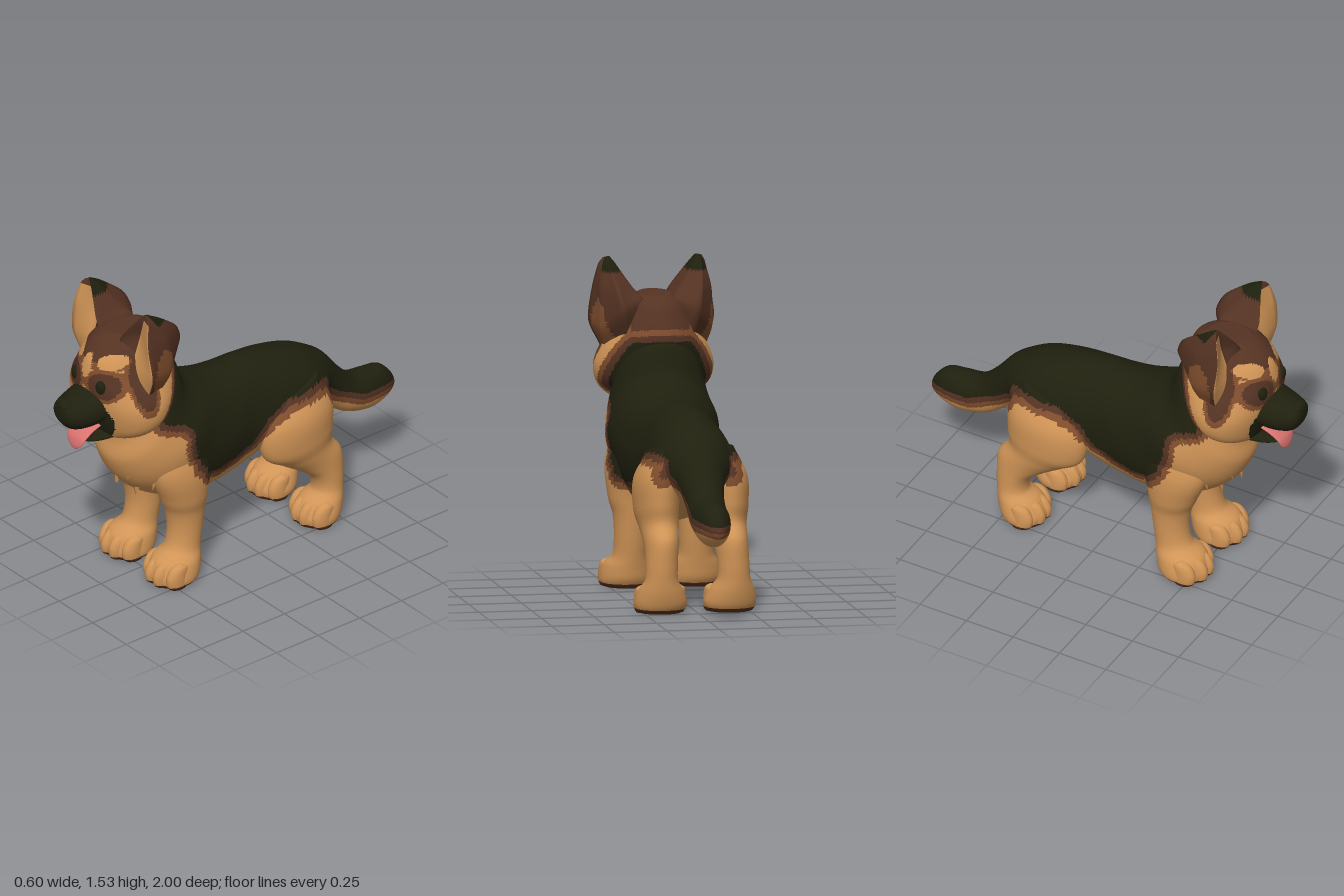
import * as THREE from 'three';

const mat = (name, color) => Object.assign(new THREE.MeshStandardMaterial({ color }), { name });
const TAN = 0, MID = 1, DARK = 2, BLACK = 3, PINK = 4;
const V = (x, y, z) => new THREE.Vector3(x, y, z);

// Outline of the dark saddle in side profile, as [z, y]
const SADDLE = [
  [0.28, 1.18], [0.42, 1.16], [0.487, 1.03], [0.555, 0.935], [0.54, 0.9], [0.43, 0.87], [0.39, 0.82],
  [0.39, 0.74], [0.35, 0.63], [0.28, 0.55], [0.19, 0.535], [0.07, 0.56], [-0.02, 0.59], [-0.1, 0.685],
  [-0.21, 0.74], [-0.4, 0.76], [-0.49, 0.74], [-0.51, 0.67], [-0.61, 0.59], [-0.77, 0.51],
  [-0.93, 0.5], [-1.1, 0.47], [-1.1, 1.3], [0.2, 1.3]];

// Signed distance from a point to the saddle outline (negative inside)
function saddleDistance(z, y) {
  let d = Infinity, inside = false;
  SADDLE.forEach(([az, ay], i) => {
    const [bz, by] = SADDLE[(i + 1) % SADDLE.length];
    const ez = bz - az, ey = by - ay;
    const t = THREE.MathUtils.clamp(((z - az) * ez + (y - ay) * ey) / (ez * ez + ey * ey), 0, 1);
    d = Math.min(d, Math.hypot(z - az - ez * t, y - ay - ey * t));
    if ((ay > y) !== (by > y) && z < az + ez * (y - ay) / ey) inside = !inside;
  });
  return inside ? -d : d;
}

const coat = c => {
  const d = saddleDistance(c.z, c.y);
  return d < 0 ? BLACK : d < 0.028 ? DARK : d < 0.056 ? MID : TAN;
};
const legCoat = c => (c.y < 0.03 ? DARK : coat(c));
const oval = (a, b, ca, cb, ra, rb) => Math.hypot((a - ca) / ra, (b - cb) / rb) - 1;

// Face markings: mask, brows, eye patches, temples and nape
function headCoat(c) {
  const x = Math.abs(c.x), { y, z } = c, k = coat(c);
  if (k !== TAN) return k;
  if (z > 0.72 && oval(x, y, 0, 0.97, 0.155, 0.12) < 0) return BLACK;
  let d = oval(x, y, 0, 1.4, 0.3, 0.13);
  if (z > 0.7) {
    if (oval(x, y, 0.105, 1.275, 0.05, 0.035) < 0 || oval(x, y, 0, 1.24, 0.03, 0.06) < 0) return TAN;
    d = Math.min(d, oval(x, y, 0.1, 1.16, 0.075, 0.065));
  }
  if (x > 0.15) d = Math.min(d, oval(z, y, 0.67, 1.17, 0.055, 0.12));
  if (z < 0.52) d = Math.min(d, (x - 0.14) / 0.1);
  return d < 0 ? DARK : d < 0.3 ? MID : TAN;
}

// Ear markings: tan hollow, dark rim and back, black tip behind
const earCoat = (c, u) => {
  if (u > 1 / 6 && u < 2 / 6) return c.y > 1.505 ? DARK : TAN;
  if (u < 1 / 6) return DARK;
  if (c.y > 1.475 && u > 0.5) return BLACK;
  return oval(c.z, c.y, 0.58, 1.22, 0.07, 0.13) < 0 ? MID : DARK;
};

export function createModel() {
  const model = new THREE.Group();
  model.name = 'puppy';
  const mats = [mat('tanFur', 0xd09456), mat('midBrownFur', 0x7f4d2d), mat('darkBrownFur', 0x553323),
    mat('blackFur', 0x20200f), mat('tongue', 0xdb7371)];

  // Closed skin over rings of points, painted triangle by triangle
  function skin(name, rows, paint, parent = model) {
    const n = rows[0].length, m = rows.length, pts = rows.flat(), tris = [];
    const mean = r => r.reduce((s, p) => s.add(p), V(0, 0, 0)).divideScalar(n);
    pts.push(mean(rows[0]), mean(rows[m - 1]));
    for (let j = 0; j < n; j++) {
      const k = (j + 1) % n, u = (j + 0.5) / n, e = (m - 1) * n;
      for (let i = 0; i < m - 1; i++) {
        const a = i * n + j, b = i * n + k;
        tris.push([a, b, a + n, u], [b, b + n, a + n, u]);
      }
      tris.push([m * n, k, j, u], [m * n + 1, e + j, e + k, u]);
    }
    let volume = 0;
    for (const [a, b, c] of tris) volume += pts[a].dot(V(0, 0, 0).crossVectors(pts[b], pts[c]));
    const bins = mats.map(() => []);
    for (const [a, b, c, u] of tris) {
      const mid = V(0, 0, 0).add(pts[a]).add(pts[b]).add(pts[c]).divideScalar(3);
      bins[paint(mid, u)].push(...(volume > 0 ? [a, b, c] : [a, c, b]));
    }
    const geo = new THREE.BufferGeometry().setFromPoints(pts);
    geo.setIndex(bins.flat());
    let start = 0;
    bins.forEach((b, i) => {
      if (b.length) geo.addGroup(start, b.length, i);
      start += b.length;
    });
    geo.computeVertexNormals();
    const mesh = new THREE.Mesh(geo, mats);
    mesh.name = name;
    parent.add(mesh);
    return mesh;
  }

  // Oval rings from sections [z1, y1, z2, y2, half width, x centre]
  function loft(secs, m, n, side = 1) {
    const curve = f => new THREE.CatmullRomCurve3(secs.map(f), false, 'catmullrom', 0.5);
    const top = curve(s => V(0, s[1], s[0])), low = curve(s => V(0, s[3], s[2]));
    const wide = curve(s => V((s[5] || 0) * side, s[4], 0));
    return Array.from({ length: m + 1 }, (_, i) => {
      const t = top.getPoint(i / m), b = low.getPoint(i / m), w = wide.getPoint(i / m);
      return Array.from({ length: n }, (_, j) => {
        const a = j / n * Math.PI * 2, f = 0.5 + 0.5 * Math.cos(a);
        return V(w.x + w.y * Math.sin(a), b.y + (t.y - b.y) * f, b.z + (t.z - b.z) * f);
      });
    });
  }

  function ball(name, material, pos, scale, parent = model) {
    const b = new THREE.Mesh(new THREE.SphereGeometry(1, 16, 12), mats[material]);
    b.name = name;
    b.position.set(...pos);
    b.scale.set(...scale);
    parent.add(b);
    return b;
  }

  // Neck, trunk and tail in one sweep
  skin('bodyAndTail', loft([
    [0.52, 1.25, 0.72, 0.92, 0.16], [0.375, 1.165, 0.71, 0.8, 0.205], [0.31, 1.02, 0.715, 0.68, 0.24],
    [0.2, 0.965, 0.63, 0.53, 0.265], [0.1, 0.945, 0.46, 0.41, 0.245], [0, 0.94, 0.25, 0.36, 0.225],
    [-0.1, 0.945, 0.05, 0.375, 0.2], [-0.25, 0.925, -0.13, 0.44, 0.2], [-0.4, 0.885, -0.33, 0.5, 0.19],
    [-0.5, 0.835, -0.48, 0.55, 0.15], [-0.57, 0.785, -0.53, 0.535, 0.115], [-0.66, 0.675, -0.6, 0.475, 0.093],
    [-0.74, 0.605, -0.7, 0.41, 0.09], [-0.84, 0.59, -0.83, 0.378, 0.085], [-0.92, 0.58, -0.93, 0.395, 0.065],
    [-0.98, 0.52, -0.985, 0.43, 0.035], [-1, 0.47, -1, 0.46, 0.006]], 160, 88), coat);

  // Chest fur tufts
  for (const [x, y, z] of [[0, 0.6, 0.655], [0.09, 0.66, 0.655], [-0.09, 0.66, 0.655], [0.07, 0.54, 0.59],
    [-0.07, 0.54, 0.59], [0.16, 0.6, 0.56], [-0.16, 0.6, 0.56]]) {
    const tuft = new THREE.Mesh(new THREE.ConeGeometry(0.06, 0.15, 6), mats[TAN]);
    tuft.name = 'chestTuft';
    tuft.position.set(x, y, z);
    tuft.rotation.x = Math.PI - 0.1;
    tuft.scale.z = 0.45;
    model.add(tuft);
  }

  // Head and muzzle
  const head = new THREE.Group();
  head.name = 'head';
  model.add(head);
  skin('skull', loft([
    [0.7, 1.375, 0.5, 1.37, 0.075], [0.76, 1.345, 0.435, 1.335, 0.13], [0.82, 1.28, 0.4, 1.27, 0.17],
    [0.845, 1.2, 0.372, 1.19, 0.21], [0.85, 1.12, 0.38, 1.12, 0.255], [0.84, 1.04, 0.41, 1.04, 0.283],
    [0.82, 0.96, 0.45, 0.96, 0.272], [0.8, 0.9, 0.52, 0.9, 0.225], [0.78, 0.86, 0.58, 0.855, 0.14],
    [0.71, 0.845, 0.64, 0.845, 0.04]], 80, 96), headCoat, head);
  skin('muzzle', loft([
    [0.76, 1.15, 0.76, 0.94, 0.13], [0.88, 1.115, 0.87, 0.93, 0.115], [0.95, 1.1, 0.945, 0.94, 0.088],
    [0.985, 1.085, 0.985, 0.98, 0.06], [0.998, 1.06, 0.995, 1.02, 0.025]], 24, 32), () => BLACK, head);
  skin('lowerJaw', loft([
    [0.72, 0.92, 0.72, 0.85, 0.13], [0.82, 0.89, 0.82, 0.85, 0.095], [0.88, 0.885, 0.88, 0.86, 0.065],
    [0.9, 0.88, 0.9, 0.868, 0.03]], 16, 24), () => BLACK, head);
  skin('tongue', loft([
    [0.78, 0.945, 0.78, 0.925, 0.068], [0.85, 0.925, 0.842, 0.905, 0.07], [0.9, 0.885, 0.885, 0.875, 0.065],
    [0.915, 0.845, 0.9, 0.842, 0.05], [0.915, 0.816, 0.908, 0.815, 0.015]], 24, 24), () => PINK, head);
  ball('nose', BLACK, [0, 1.07, 0.965], [0.05, 0.034, 0.034], head);

  for (const s of [1, -1]) {
    const side = s > 0 ? 'left' : 'right';

    // Ear: levels from base to tip, each [x, y, z] round the hollow and the back
    const levels = [
      [[0.13, 1.2, 0.74], [0.17, 1.17, 0.69], [0.25, 1.125, 0.66], [0.24, 1.12, 0.58], [0.16, 1.2, 0.46], [0.08, 1.25, 0.5]],
      [[0.075, 1.34, 0.7], [0.15, 1.25, 0.68], [0.3, 1.24, 0.68], [0.265, 1.22, 0.54], [0.18, 1.31, 0.42], [0.07, 1.35, 0.5]],
      [[0.1, 1.4, 0.7], [0.155, 1.39, 0.64], [0.28, 1.39, 0.69], [0.265, 1.39, 0.56], [0.2, 1.41, 0.46], [0.11, 1.4, 0.54]],
      [[0.175, 1.505, 0.665], [0.195, 1.5, 0.65], [0.255, 1.5, 0.67], [0.245, 1.5, 0.62], [0.22, 1.5, 0.57], [0.18, 1.5, 0.6]],
      [[0.205, 1.54, 0.655], [0.21, 1.54, 0.65], [0.235, 1.535, 0.655], [0.23, 1.535, 0.645], [0.22, 1.54, 0.635], [0.208, 1.54, 0.64]]];
    const cols = levels[0].map((_, c) =>
      new THREE.CatmullRomCurve3(levels.map(l => V(l[c][0] * s, l[c][1], l[c][2])), false, 'catmullrom', 0.4));
    const rows = Array.from({ length: 33 }, (_, i) => cols.flatMap((curve, c) => {
      const a = curve.getPoint(i / 32), b = cols[(c + 1) % 6].getPoint(i / 32);
      return Array.from({ length: 6 }, (_, k) => a.clone().lerp(b, k / 6));
    }));
    skin(side + 'Ear', rows, earCoat, head);

    ball(side + 'Eye', BLACK, [s * 0.093, 1.155, 0.825], [0.027, 0.036, 0.02], head).rotation.y = s * 0.4;

    // Legs, from shoulder or hip down to the sole
    skin(side + 'FrontLeg', loft([
      [0.52, 0.82, 0.26, 0.8, 0.07, 0.14], [0.57, 0.62, 0.24, 0.6, 0.1, 0.168], [0.51, 0.45, 0.26, 0.45, 0.1, 0.162],
      [0.472, 0.36, 0.27, 0.36, 0.086, 0.155], [0.46, 0.26, 0.285, 0.25, 0.08, 0.155],
      [0.48, 0.175, 0.3, 0.165, 0.083, 0.158], [0.545, 0.13, 0.31, 0.11, 0.11, 0.163],
      [0.57, 0.07, 0.32, 0.06, 0.122, 0.165], [0.57, 0.03, 0.335, 0.03, 0.12, 0.165],
      [0.56, 0.01, 0.35, 0.01, 0.1, 0.165]], 80, 40, s), legCoat);
    skin(side + 'HindLeg', loft([
      [-0.14, 0.72, -0.43, 0.8, 0.07, 0.13], [-0.08, 0.6, -0.49, 0.66, 0.105, 0.16],
      [-0.1, 0.45, -0.495, 0.53, 0.103, 0.165], [-0.2, 0.375, -0.49, 0.44, 0.09, 0.162],
      [-0.3, 0.31, -0.545, 0.36, 0.08, 0.165], [-0.375, 0.25, -0.55, 0.25, 0.075, 0.17],
      [-0.39, 0.175, -0.545, 0.17, 0.078, 0.172], [-0.335, 0.13, -0.538, 0.11, 0.105, 0.168],
      [-0.3, 0.07, -0.525, 0.06, 0.122, 0.165], [-0.3, 0.03, -0.51, 0.03, 0.118, 0.165],
      [-0.31, 0.01, -0.49, 0.01, 0.1, 0.165]], 80, 40, s), legCoat);

    // Four toes on each paw, dark along the ground
    for (const [pawName, front] of [['FrontToe', 0.595], ['HindToe', -0.28]])
      for (let i = 0; i < 4; i++) {
        const off = (i - 1.5) * 0.058, back = 0.062 + off * off * 5;
        skin(side + pawName, loft([
          [front - back - 0.02, 0.14, front - back - 0.03, 0.13, 0.012, 0.165 + off],
          [front - back + 0.03, 0.12, front - back - 0.06, 0.12, 0.029, 0.165 + off],
          [front - back + 0.058, 0.075, front - back - 0.06, 0.075, 0.034, 0.165 + off],
          [front - back + 0.055, 0.03, front - back - 0.06, 0.03, 0.033, 0.165 + off],
          [front - back + 0.035, 0.01, front - back - 0.05, 0.01, 0.025, 0.165 + off]], 16, 14, s), legCoat);
      }
  }
  return model;
}
